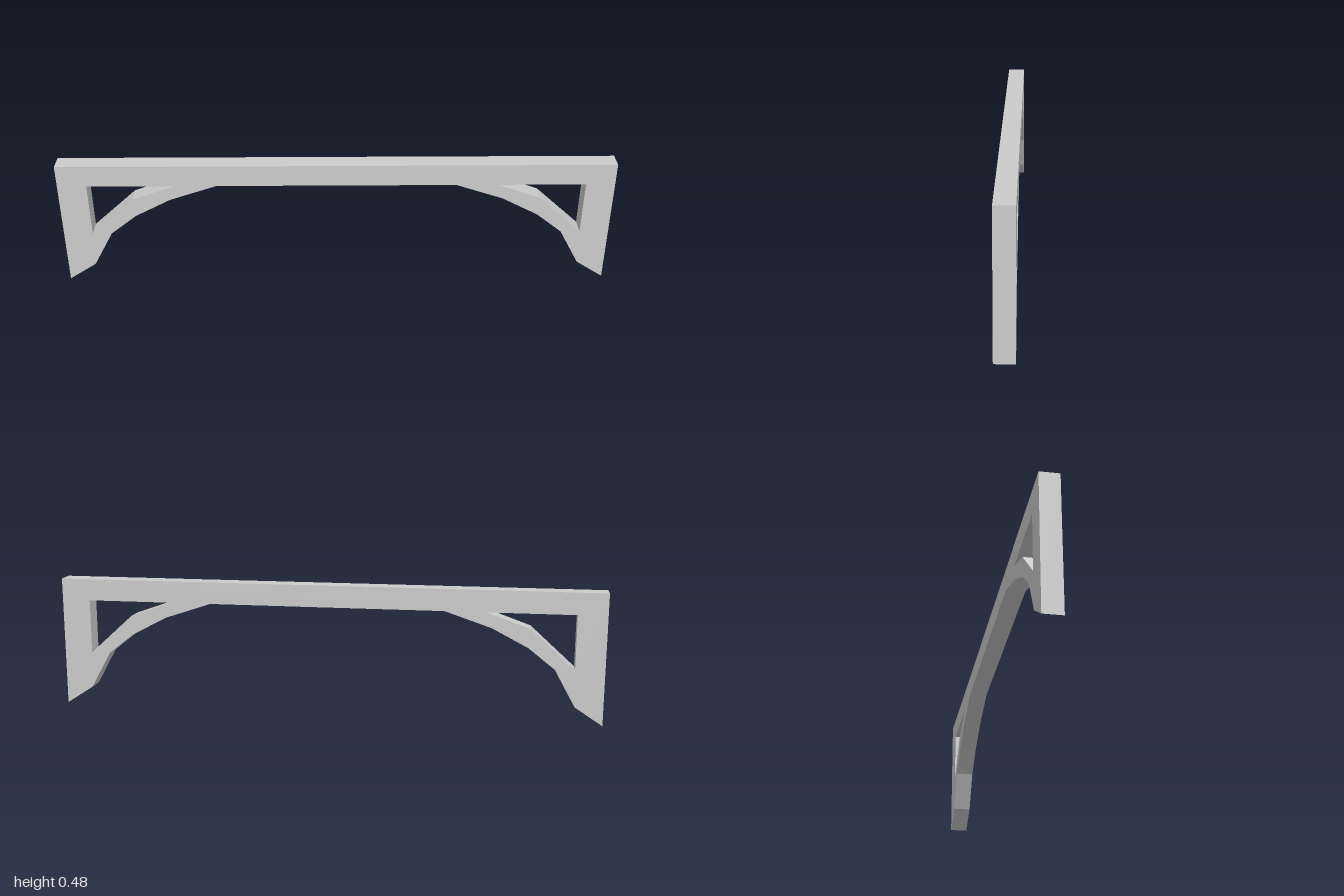
import * as THREE from 'three';

const DEPTH = 0.067;
const TOP = 0.48;

// Underside of one end, from the foot of the post along the curved brace to the beam
const underside = [[1, 0], [0.9, 0.065], [0.825, 0.2], [0.73, 0.275], [0.6, 0.343], [0.43, 0.4]];
// Opening between post, beam and brace
const opening = [[0.895, 0.2], [0.735, 0.345], [0.58, 0.4], [0.895, 0.4]];

const toPoints = (pts, side) => pts.map(([x, y]) => new THREE.Vector2(x * side, y));

export function createModel() {
  const group = new THREE.Group();
  group.name = 'bracedBeam';

  // Beam, end posts and braces form one continuous flat frame
  const outline = new THREE.Shape([
    new THREE.Vector2(-1, TOP),
    ...toPoints(underside, -1),
    ...toPoints(underside, 1).reverse(),
    new THREE.Vector2(1, TOP),
  ]);
  for (const side of [-1, 1]) outline.holes.push(new THREE.Path(toPoints(opening, side)));

  const geometry = new THREE.ExtrudeGeometry(outline, { depth: DEPTH, bevelEnabled: false });
  geometry.translate(0, 0, -DEPTH / 2);

  const frame = new THREE.Mesh(
    geometry,
    new THREE.MeshStandardMaterial({ color: 0xcccccc, flatShading: true }),
  );
  frame.name = 'beamWithBracedPosts';
  group.add(frame);
  return group;
}
